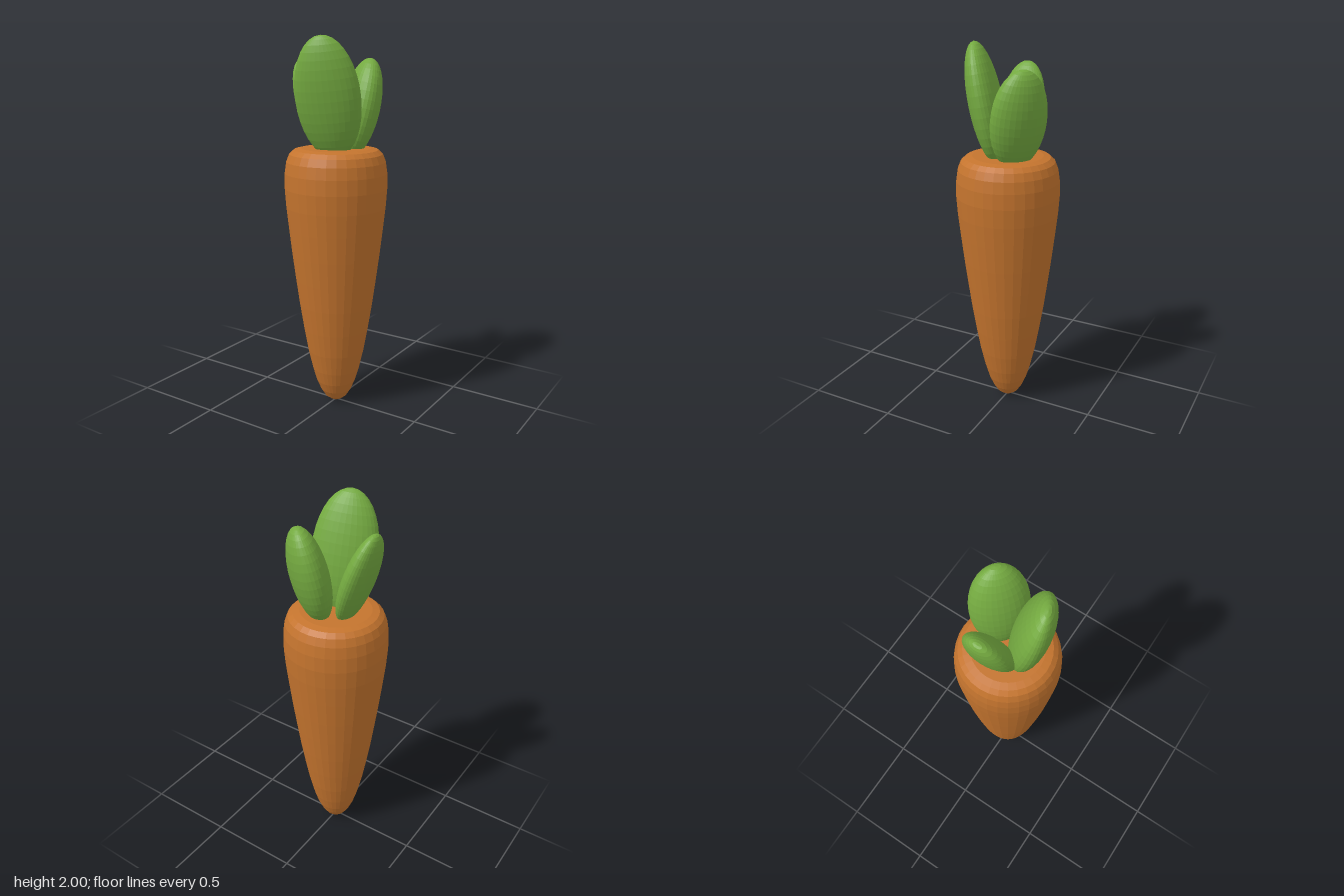
import * as THREE from 'three';

const orange = new THREE.MeshStandardMaterial({ color: 0xc4742e, flatShading: true });
const green = new THREE.MeshStandardMaterial({ color: 0x74aa40, flatShading: true });

// Ellipsoid leaf: radii across, up and through; yaw turns its broad face, lean tips it along its heading
function makeLeaf(name, center, radii, yaw, heading, lean) {
  const geometry = new THREE.SphereGeometry(1, 32, 18);
  geometry.scale(...radii);
  geometry.rotateY(THREE.MathUtils.degToRad(yaw));
  const h = THREE.MathUtils.degToRad(heading);
  const axis = new THREE.Vector3(Math.cos(h), 0, -Math.sin(h));
  geometry.applyMatrix4(new THREE.Matrix4().makeRotationAxis(axis, THREE.MathUtils.degToRad(lean)));
  const leaf = new THREE.Mesh(geometry, green);
  leaf.name = name;
  leaf.position.set(...center);
  return leaf;
}

export function createModel() {
  const group = new THREE.Group();
  group.name = 'carrot';

  // Tapered root with a rounded tip and soft shoulders
  const profile = [
    [0, 0], [0.03, 0.007], [0.06, 0.03], [0.085, 0.07], [0.108, 0.125],
    [0.13, 0.2], [0.155, 0.31], [0.178, 0.44], [0.2, 0.58], [0.219, 0.72],
    [0.237, 0.86], [0.253, 1.0], [0.266, 1.12], [0.273, 1.22], [0.271, 1.3],
    [0.262, 1.36], [0.246, 1.4], [0.222, 1.422], [0.185, 1.43], [0, 1.43],
  ].map(([r, y]) => new THREE.Vector2(r, y));
  const root = new THREE.Mesh(new THREE.LatheGeometry(profile, 32), orange);
  root.name = 'root';
  group.add(root);

  // Three leaves splayed around the crown
  group.add(
    makeLeaf('frontLeaf', [0.025, 1.69, 0.112], [0.17, 0.315, 0.086], 20, 0, 12.5),
    makeLeaf('rightLeaf', [-0.137, 1.634, -0.005], [0.128, 0.265, 0.067], -90, -90, 19),
    makeLeaf('backLeaf', [0.085, 1.635, -0.103], [0.148, 0.26, 0.095], 140, 140, 13),
  );
  return group;
}
